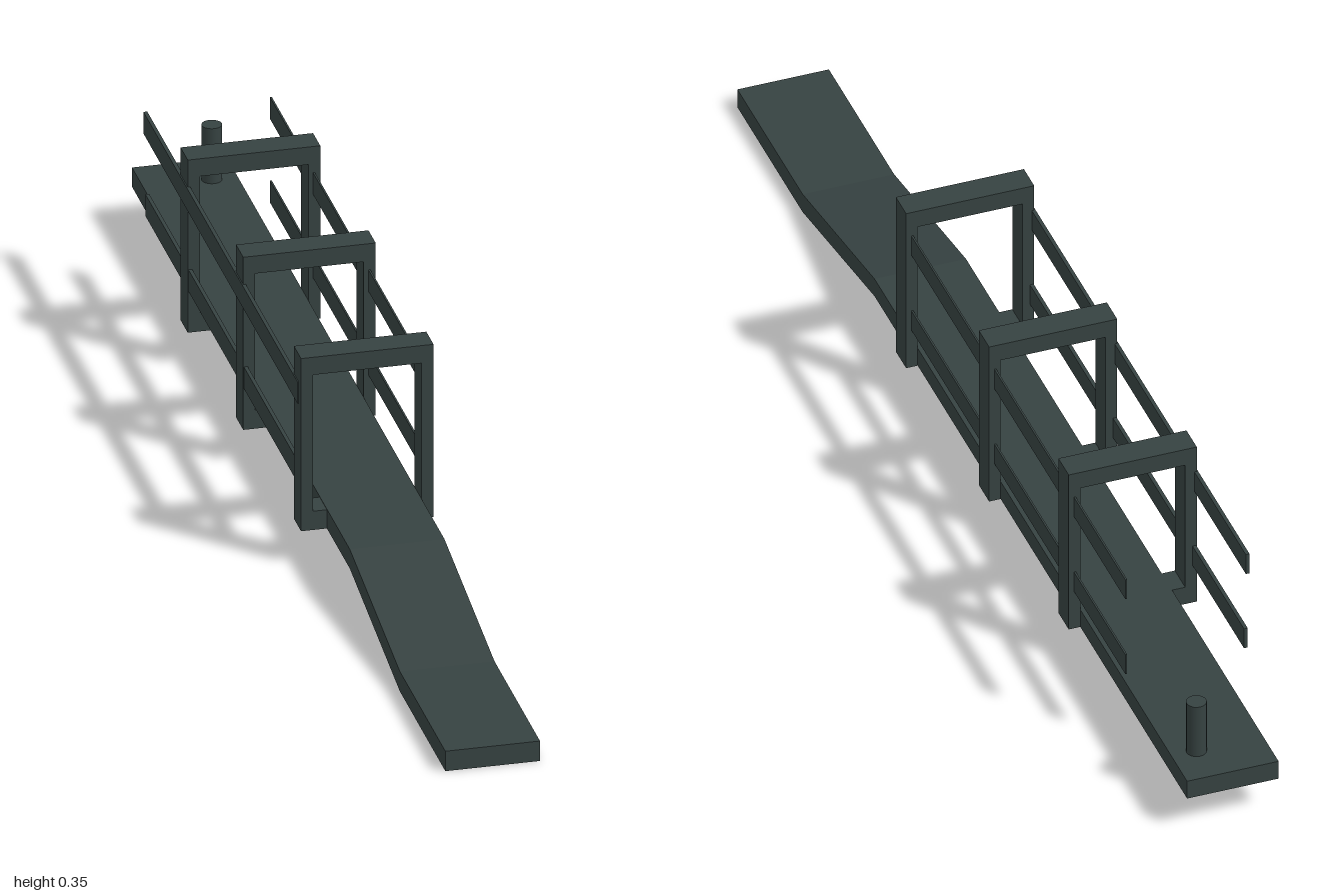
import * as THREE from 'three';

export function createModel() {
  const group = new THREE.Group();
  const material = new THREE.MeshStandardMaterial({ color: 0x364241 });

  const add = (name, geometry, x = 0, y = 0, z = 0) => {
    const mesh = new THREE.Mesh(geometry, material);
    mesh.name = name;
    mesh.position.set(x, y, z);
    group.add(mesh);
    return mesh;
  };
  const extrude = (points, depth) => new THREE.ExtrudeGeometry(
    new THREE.Shape(points.map(([x, y]) => new THREE.Vector2(x, y))),
    { depth, bevelEnabled: false }
  );

  // Walkway: side profile (z, y) swept across its width, with the ramp at the front
  const deck = extrude([
    [1, 0], [1, 0.034], [0.71, 0.034], [0.39, 0.093],
    [-1, 0.093], [-1, 0.06], [0.39, 0.06], [0.71, 0],
  ], 0.15);
  deck.rotateY(-Math.PI / 2);
  add('walkway', deck, 0.086);

  // Portal frames, each with a foot reaching the deck on the -x side
  const portal = [
    [-0.105, 0.06], [-0.064, 0.06], [-0.064, 0.092], [-0.086, 0.092],
    [-0.086, 0.325], [0.086, 0.325], [0.086, 0.06], [0.105, 0.06],
    [0.105, 0.355], [-0.105, 0.355],
  ];
  const frameDepth = 0.046;
  for (const z of [0.221, -0.148, -0.502]) {
    add('portalFrame', extrude(portal, frameDepth), 0, 0, z - frameDepth / 2);
  }

  // Handrails: two thin boards on each side
  const rails = [
    ['upperRailRight', -0.104, 0.29, 0.006],
    ['lowerRailRight', -0.101, 0.149, 0.006],
    ['upperRailLeft', 0.095, 0.292, 0.003],
    ['lowerRailLeft', 0.095, 0.149, 0.003],
  ];
  for (const [name, x, y, thickness] of rails) {
    add(name, new THREE.BoxGeometry(thickness, 0.037, 0.983), x, y, -0.2625);
  }

  // Bollard at the far end
  add('bollard', new THREE.CylinderGeometry(0.016, 0.016, 0.1, 20), 0.045, 0.137, -0.93);

  return group;
}
